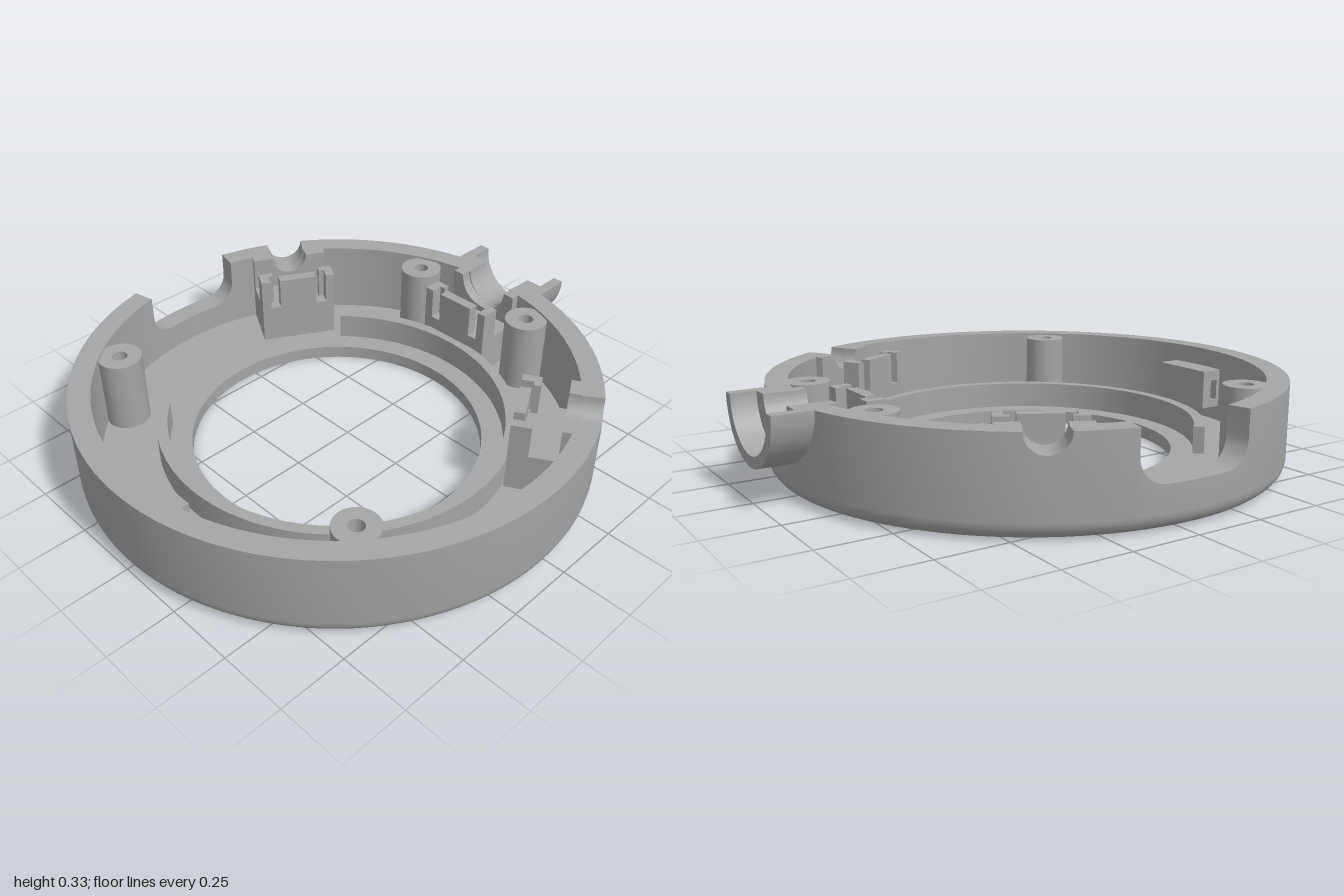
import * as THREE from 'three';
import { toCreasedNormals } from 'three/addons/utils/BufferGeometryUtils.js';

const TOP = 0.33, FLOOR = 0.05, CZ = 0.055;
const grey = new THREE.MeshStandardMaterial({ color: 0xa5a5a5 });
grey.name = 'grey plastic';

function add(parent, name, geo, x = 0, y = 0, z = 0) {
  const mesh = new THREE.Mesh(geo, grey);
  mesh.name = name;
  mesh.position.set(x, y, z);
  parent.add(mesh);
  return mesh;
}

// Box given by its limits; r is the distance outwards from the ring centre (local -z)
function block(parent, name, x0, x1, y0, y1, r0, r1) {
  add(parent, name, new THREE.BoxGeometry(x1 - x0, y1 - y0, r1 - r0), (x0 + x1) / 2, (y0 + y1) / 2, -(r0 + r1) / 2);
}

// Sweep a closed (radius, height) section round the y axis; angles start at the back
function sweep(angles, sectionAt, closed) {
  const pos = [], idx = [];
  const n = sectionAt(angles[0]).length, m = angles.length;
  for (const a of angles)
    for (const [r, y] of sectionAt(a)) pos.push(r * Math.sin(a), y, -r * Math.cos(a));
  const id = (i, j) => (i % m) * n + (j % n);
  for (let i = 0; i < (closed ? m : m - 1); i++)
    for (let j = 0; j < n; j++)
      idx.push(id(i, j), id(i, j + 1), id(i + 1, j), id(i + 1, j), id(i, j + 1), id(i + 1, j + 1));
  if (!closed)
    for (let j = 1; j < n - 1; j++) {
      idx.push(id(0, 0), id(0, j + 1), id(0, j));
      idx.push(id(m - 1, 0), id(m - 1, j), id(m - 1, j + 1));
    }
  const g = new THREE.BufferGeometry();
  g.setAttribute('position', new THREE.Float32BufferAttribute(pos, 3));
  g.setIndex(idx);
  return toCreasedNormals(g, 0.5);
}

// Openings in the rim: three round cable exits and one wide notch with filleted corners
const round = w => t => TOP - Math.sqrt(Math.max(0, w * w - t * t));
const notch = t => {
  const d = Math.max(0, Math.abs(t) - 0.12);
  return 0.24 - Math.sqrt(Math.max(0, 0.0081 - d * d));
};
const cuts = [
  { a: 0, w: 0.105, f: round(0.105) },
  { a: Math.PI / 3, w: 0.07, f: round(0.07) },
  { a: -Math.PI / 3, w: 0.07, f: round(0.07) },
  { a: -Math.PI / 2, w: 0.21, f: notch },
];
const RM = 0.91;

function rimHeight(angle) {
  for (const { a, w, f } of cuts) {
    const t = RM * Math.sin(angle - a);
    if (Math.cos(angle - a) > 0 && Math.abs(t) < w + 5e-5) return f(t);
  }
  return TOP;
}

function shellGeometry() {
  const angles = [];
  for (let i = 0; i < 120; i++) angles.push(-Math.PI + (i + 0.5) * Math.PI / 60);
  for (const { a, w } of cuts) {
    for (let k = -12; k <= 12; k++) angles.push(a + Math.asin(w * Math.sin(k * Math.PI / 24) / RM));
    for (const s of [-1, 1]) angles.push(a + s * Math.asin((w + 1e-4) / RM));
  }
  angles.sort((p, q) => p - q);
  return sweep(angles, a => {
    const h = rimHeight(a), pts = [[0.535, 0]];
    for (let k = 0; k <= 6; k++) {
      const q = k * Math.PI / 12;
      pts.push([0.88 + 0.06 * Math.sin(q), 0.06 - 0.06 * Math.cos(q)]);
    }
    pts.push([0.94, h], [0.86, h], [0.86, FLOOR], [0.535, FLOOR]);
    return pts;
  }, true);
}

// Half-round trough hanging below the rim plane, from radius r0 to r1
function trough(parent, name, outer, inner, r0, r1) {
  const s = new THREE.Shape();
  s.moveTo(-outer, TOP);
  s.absarc(0, TOP, outer, Math.PI, 2 * Math.PI, false);
  s.lineTo(inner, TOP);
  s.absarc(0, TOP, inner, 2 * Math.PI, Math.PI, true);
  const g = new THREE.ExtrudeGeometry(s, { depth: r1 - r0, bevelEnabled: false, curveSegments: 28 });
  add(parent, name, toCreasedNormals(g, 0.5), 0, 0, -r1);
}

// Socket behind a cable exit: base, saddle plate, corner posts and stop plate
function socket(angle, cutRadius) {
  const g = new THREE.Group();
  g.name = 'cableSocket';
  g.rotation.y = -angle;
  const top = 0.322;
  block(g, 'socketBase', -0.15, 0.15, 0.03, 0.2, 0.645, 0.855);
  block(g, 'stopPlate', -0.075, 0.075, 0.19, top, 0.645, 0.685);
  for (const s of [-1, 1]) {
    const lim = (p, q) => s > 0 ? [p, q] : [-q, -p];
    block(g, 'cornerPost', ...lim(0.115, 0.15), 0.19, top, 0.645, 0.715);
    block(g, 'postLip', ...lim(0.095, 0.12), 0.19, top, 0.69, 0.715);
  }
  const s = new THREE.Shape();
  s.moveTo(-0.15, 0.19);
  s.lineTo(0.15, 0.19);
  s.lineTo(0.15, TOP);
  s.lineTo(cutRadius, TOP);
  s.absarc(0, TOP, cutRadius, 2 * Math.PI, Math.PI, true);
  s.lineTo(-0.15, TOP);
  const plate = new THREE.ExtrudeGeometry(s, { depth: 0.05, bevelEnabled: false, curveSegments: 24 });
  add(g, 'saddlePlate', toCreasedNormals(plate, 0.5), 0, 0, -0.865);
  return g;
}

export function createModel() {
  const model = new THREE.Group();
  model.name = 'ringHousing';
  const ring = new THREE.Group();
  ring.name = 'ring';
  ring.position.z = CZ;
  model.add(ring);

  add(ring, 'shell', shellGeometry());

  // Raised lip round the opening, left out beside the wide notch
  const lipAngles = [];
  const from = -0.78, to = Math.PI + 0.82;
  for (let i = 0; i <= 90; i++) lipAngles.push(from + (to - from) * i / 90);
  add(ring, 'innerLip', sweep(lipAngles, () => [[0.615, 0.04], [0.655, 0.04], [0.655, 0.15], [0.615, 0.15]], false));

  // Main cable spout at the back, with a wider mouth
  trough(ring, 'spoutNeck', 0.21, 0.105, 0.9, 0.965);
  trough(ring, 'spoutMouth', 0.21, 0.17, 0.965, 1.055);

  for (const { a, w } of cuts.slice(0, 3)) ring.add(socket(a, w));

  // Screw posts with blind holes
  const profile = [[0.08, 0.04], [0.08, 0.322], [0.028, 0.322], [0.028, 0.15], [0, 0.15]];
  const post = toCreasedNormals(new THREE.LatheGeometry(profile.map(p => new THREE.Vector2(...p)), 32), 0.5);
  for (const s of [-1, 1]) {
    add(ring, 'screwPost', post, s * 0.27, 0, -0.745);
    add(ring, 'screwPost', post, s * 0.61, 0, 0.505);
  }

  // Tie loop on the front inner wall, with a slot running through it sideways
  const loop = new THREE.Shape([[-0.875, 0.11], [-0.765, 0.11], [-0.765, 0.26], [-0.875, 0.26]].map(p => new THREE.Vector2(...p)));
  loop.holes.push(new THREE.Path([[-0.835, 0.14], [-0.835, 0.22], [-0.805, 0.22], [-0.805, 0.14]].map(p => new THREE.Vector2(...p))));
  const loopGeo = new THREE.ExtrudeGeometry(loop, { depth: 0.26, bevelEnabled: false });
  add(ring, 'tieLoop', loopGeo, -0.13).rotation.y = Math.PI / 2;

  return model;
}
